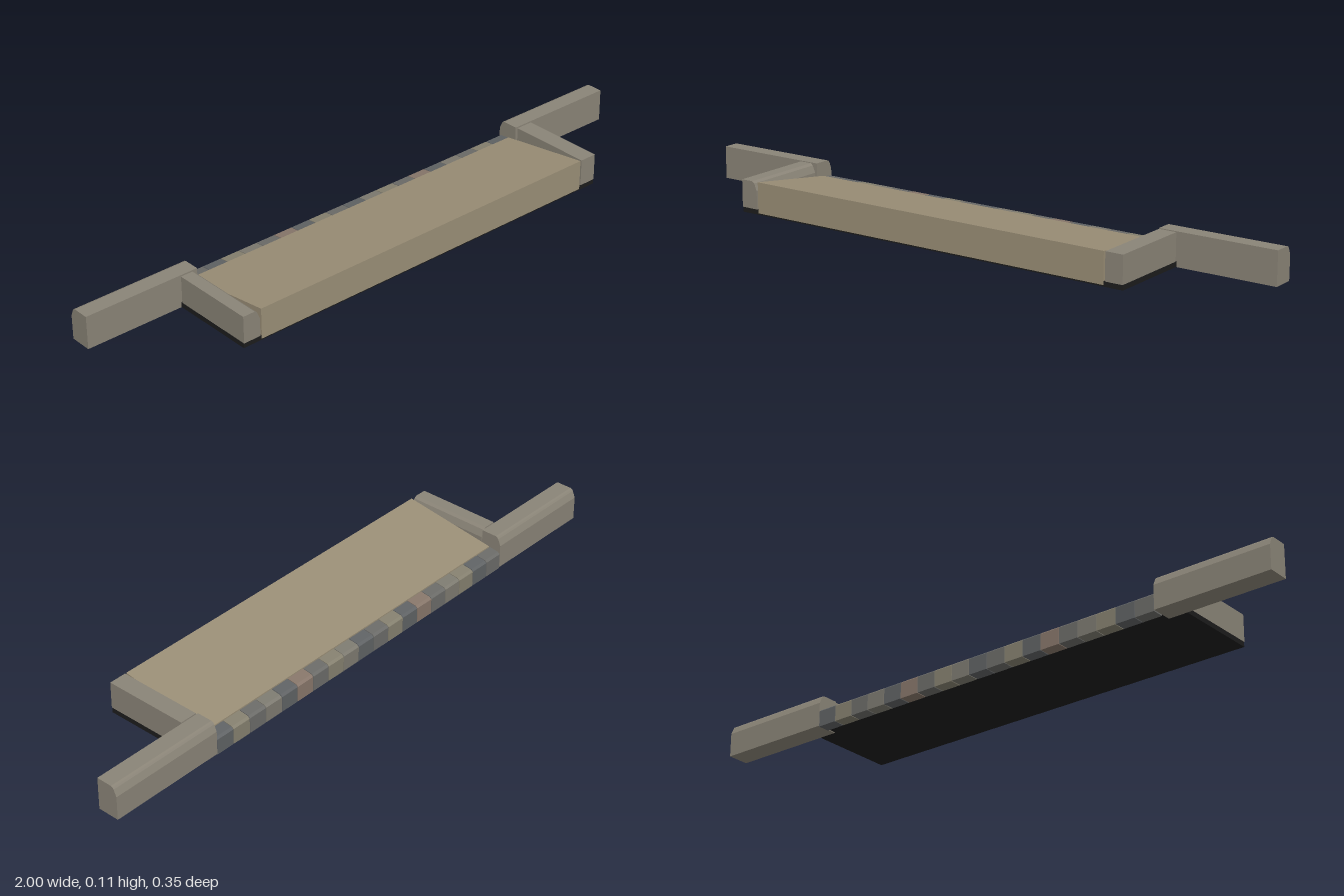
import * as THREE from 'three';

const mat = (color) => new THREE.MeshStandardMaterial({ color, flatShading: true, roughness: 0.9 });

// Extrude a (u, y) profile along x; u maps to z
function alongX(name, profile, x0, x1, material) {
  const shape = new THREE.Shape(profile.map(([z, y]) => new THREE.Vector2(-z, y)));
  const geo = new THREE.ExtrudeGeometry(shape, { depth: x1 - x0, bevelEnabled: false });
  geo.rotateY(Math.PI / 2).translate(x0, 0, 0);
  const mesh = new THREE.Mesh(geo, material);
  mesh.name = name;
  return mesh;
}

// Extrude an (x, y) profile along z
function alongZ(name, profile, z0, z1, material) {
  const shape = new THREE.Shape(profile.map(([x, y]) => new THREE.Vector2(x, y)));
  const geo = new THREE.ExtrudeGeometry(shape, { depth: z1 - z0, bevelEnabled: false });
  geo.translate(0, 0, z0);
  const mesh = new THREE.Mesh(geo, material);
  mesh.name = name;
  return mesh;
}

export function createModel() {
  const model = new THREE.Group();
  model.name = 'droppedKerbRamp';
  const stone = mat(0x8a8477);
  const paving = mat(0x9a8e76);
  const dark = mat(0x1c1c1c);

  // Kerbs along the road, with the road-side top edge rounded off
  const kerb = [[-0.105, 0.003], [-0.105, 0.107], [-0.156, 0.107], [-0.162, 0.105],
    [-0.166, 0.1], [-0.175, 0.079], [-0.175, 0.003]];
  model.add(alongX('leftKerb', kerb, 0.622, 1, stone));
  model.add(alongX('rightKerb', kerb, -1, -0.622, stone));

  // Side kerbs flanking the ramp; the right one has its inner edge eased
  model.add(alongZ('leftSideKerb',
    [[0.625, 0.02], [0.682, 0.02], [0.682, 0.106], [0.625, 0.106]], -0.1, 0.176, stone));
  model.add(alongZ('rightSideKerb',
    [[-0.682, 0.02], [-0.625, 0.02], [-0.625, 0.078], [-0.634, 0.1], [-0.642, 0.106], [-0.682, 0.106]],
    -0.1, 0.176, stone));

  // Dark bedding under ramp and side kerbs
  model.add(alongX('bedding',
    [[0.174, 0.004], [0.174, 0.02], [-0.106, 0.02], [-0.106, 0.004]], -0.682, 0.682, dark));
  model.add(alongX('rampBedding',
    [[0.17, 0.004], [0.17, 0.02], [-0.134, 0.02], [-0.134, 0.004]], -0.62, 0.62, dark));

  // Ramp falling towards the road
  model.add(alongX('ramp',
    [[0.176, 0.009], [0.176, 0.106], [-0.134, 0.062], [-0.134, 0.009]], -0.62, 0.62, paving));

  // Row of setts across the foot of the ramp, in mixed stone colours
  const setts = new THREE.Group();
  setts.name = 'setts';
  const tones = [0x6b6b68, 0x85806f, 0x5f6264, 0x7d7a70, 0x87766a].map(mat);
  const pattern = [0, 2, 1, 3, 0, 4, 2, 1, 0, 2, 3, 1, 0, 4, 2, 3, 0, 1, 2];
  const pitch = 1.244 / pattern.length;
  const sett = [[-0.136, 0], [-0.136, 0.06], [-0.168, 0.056], [-0.175, 0.05], [-0.175, 0]];
  pattern.forEach((tone, i) => {
    const x = -0.622 + i * pitch;
    setts.add(alongX('sett', sett, x + 0.001, x + pitch - 0.001, tones[tone]));
  });
  model.add(setts);

  return model;
}
